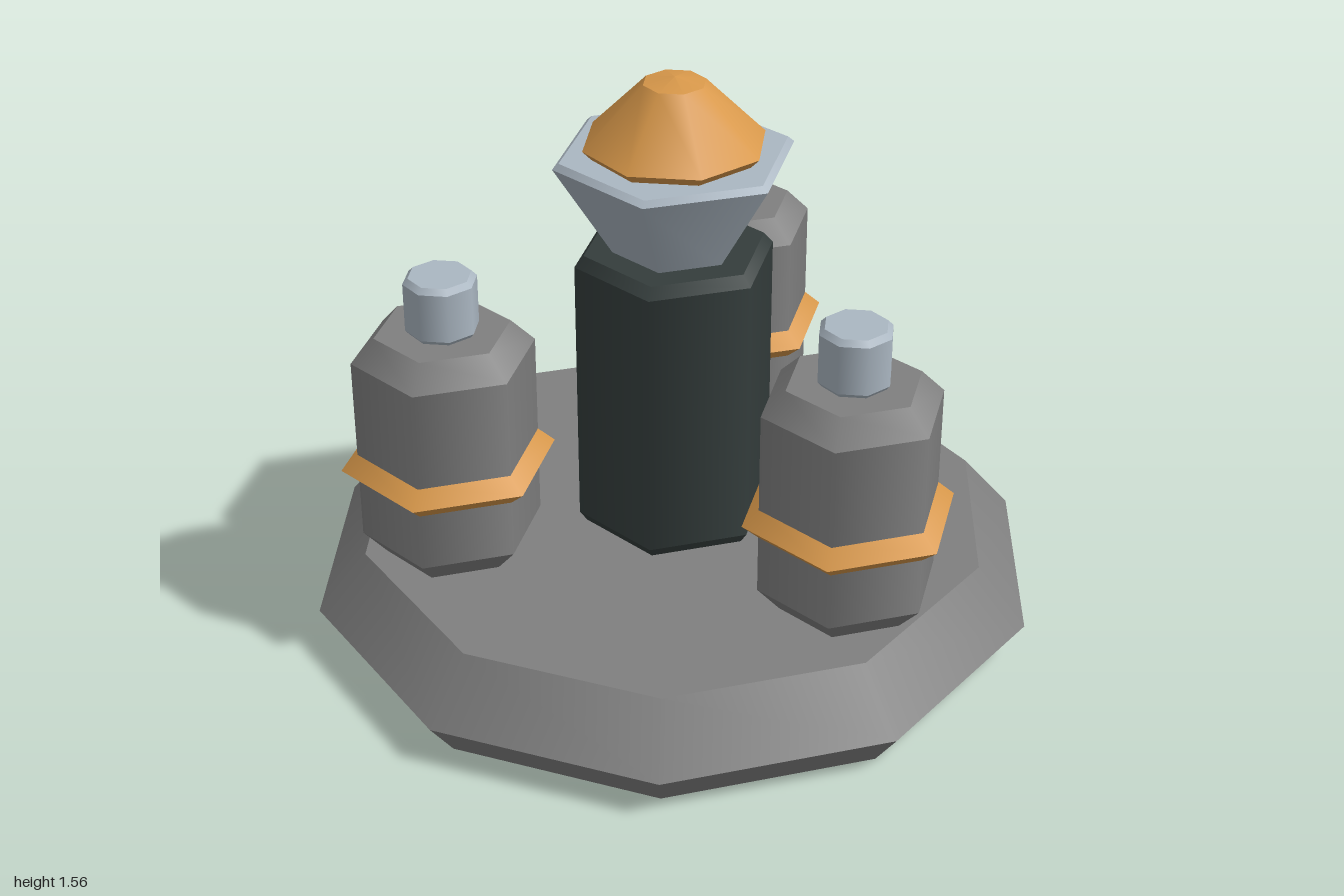
import * as THREE from 'three';
import { mergeGeometries } from 'three/addons/utils/BufferGeometryUtils.js';

// Turned solid: smooth around the axis, sharp between the bands of the profile [radius, y], bottom to top
function turned(profile, sides) {
  const bands = [];
  for (let i = 0; i < profile.length - 1; i++) {
    const pair = [profile[i], profile[i + 1]].map(([r, y]) => new THREE.Vector2(r, y));
    bands.push(new THREE.LatheGeometry(pair, sides, Math.PI / 2));
  }
  return mergeGeometries(bands);
}

function material(name, color) {
  const m = new THREE.MeshStandardMaterial({ color });
  m.name = name;
  return m;
}

export function createModel() {
  const grey = material('grey metal', 0x808080);
  const dark = material('dark metal', 0x343d3c);
  const silver = material('pale steel', 0xabb7c2);
  const orange = material('orange', 0xd8984a);

  const model = new THREE.Group();
  model.name = 'beacon';
  const add = (parent, name, profile, sides, mat) => {
    const mesh = new THREE.Mesh(turned(profile, sides), mat);
    mesh.name = name;
    parent.add(mesh);
  };

  // Ten-sided base with a dark underside
  add(model, 'base', [[0.92, 0], [1, 0.11], [0.865, 0.27], [0, 0.27]], 10, grey);
  add(model, 'baseUnderside', [[0, 0], [0.92, 0]], 10, dark);

  // Central column, cup and dome
  add(model, 'column', [[0, 0.27], [0.25, 0.27], [0.27, 0.3], [0.27, 1.055], [0.245, 1.085], [0, 1.085]], 6, dark);
  add(model, 'cup', [[0, 1.08], [0.165, 1.08], [0.322, 1.34], [0.305, 1.355], [0, 1.355]], 6, silver);
  add(model, 'dome', [[0.217, 1.352], [0.243, 1.38], [0.083, 1.543], [0, 1.558]], 8, orange);

  // Three tanks around the column
  for (const [x, z] of [[-0.623, 0], [0.311, 0.54], [0.311, -0.54]]) {
    const tank = new THREE.Group();
    tank.name = 'tank';
    tank.position.set(x, 0, z);
    add(tank, 'tankBody', [[0, 0.268], [0.18, 0.268], [0.243, 0.34], [0.243, 0.86], [0.18, 0.925], [0, 0.925]], 6, grey);
    add(tank, 'tankBand', [[0.24, 0.5], [0.288, 0.543], [0.24, 0.588]], 6, orange);
    add(tank, 'tankCap', [[0.085, 0.922], [0.097, 0.937], [0.097, 1.07], [0.083, 1.085], [0, 1.085]], 8, silver);
    model.add(tank);
  }
  return model;
}
